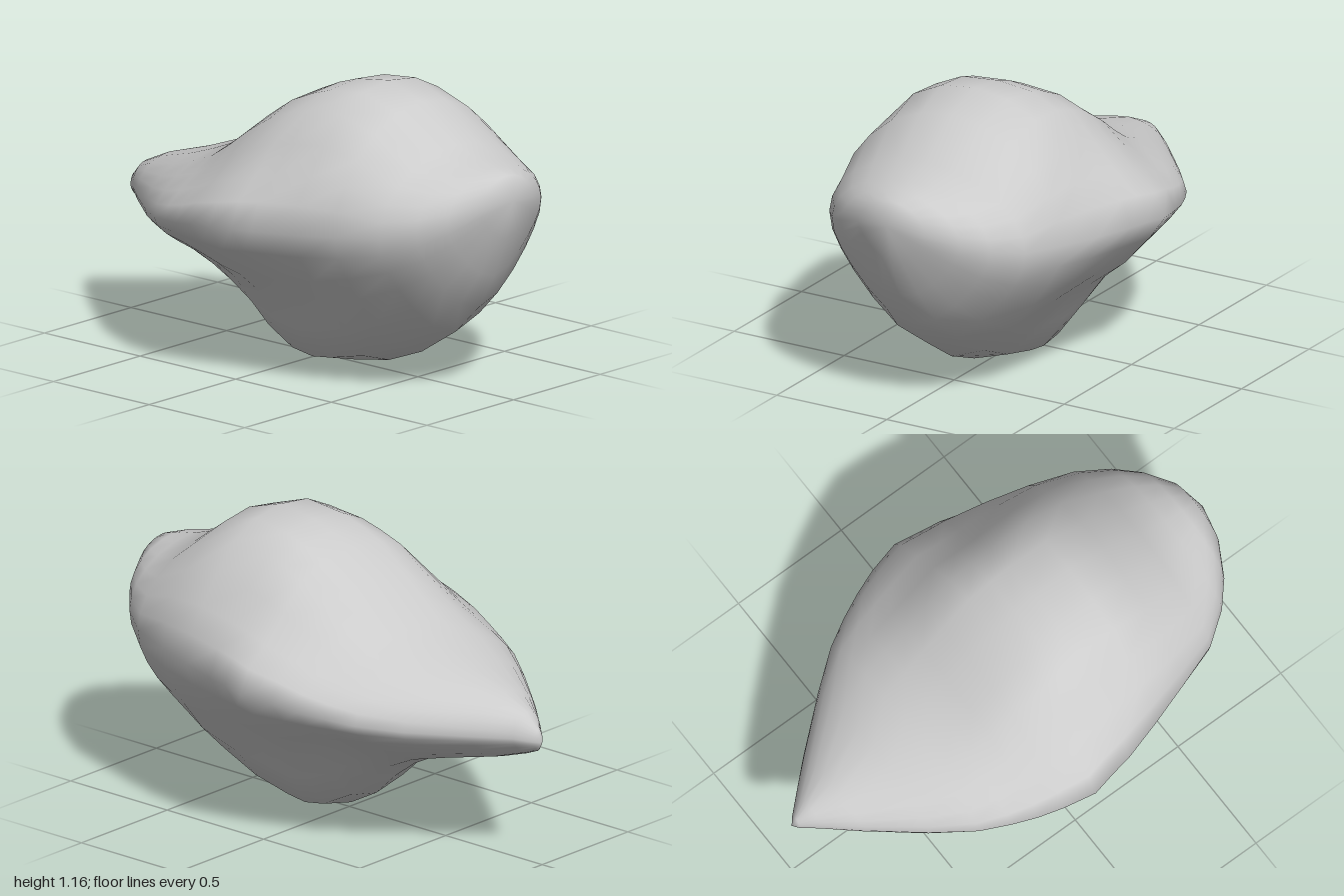
import * as THREE from 'three';

// Stations from nose to tail: z, top y, bottom y, half width, ridge y
const stations = [
  [0.965, 0.895, 0.64, 0.15, 0.78],
  [0.9, 0.915, 0.48, 0.27, 0.74],
  [0.82, 0.93, 0.34, 0.36, 0.71],
  [0.7, 0.97, 0.22, 0.445, 0.68],
  [0.52, 1.11, 0.105, 0.505, 0.665],
  [0.35, 1.165, 0.04, 0.56, 0.655],
  [0.18, 1.14, 0.01, 0.61, 0.65],
  [0.09, 1.11, 0, 0.625, 0.645],
  [-0.01, 1.065, 0.02, 0.645, 0.635],
  [-0.14, 0.975, 0.09, 0.615, 0.62],
  [-0.24, 0.895, 0.185, 0.58, 0.6],
  [-0.34, 0.825, 0.26, 0.535, 0.585],
  [-0.45, 0.78, 0.315, 0.475, 0.565],
  [-0.6, 0.725, 0.355, 0.36, 0.545],
  [-0.8, 0.665, 0.4, 0.19, 0.53],
  [-0.92, 0.61, 0.44, 0.08, 0.52],
  [-0.98, 0.55, 0.465, 0.025, 0.505],
];

// Half sections from top centre to bottom centre, x as a share of the half
// width, y as a share of the height above (+) or below (-) the ridge.
// The middle is creased along its sides, both ends are rounded.
const creased = [
  [0, 1], [0.26, 0.97], [0.45, 0.86], [0.62, 0.62], [0.78, 0.39], [0.93, 0.22], [1, 0],
  [0.89, -0.16], [0.72, -0.36], [0.57, -0.49], [0.41, -0.72], [0.25, -0.94], [0, -1],
];
const rounded = [
  [0, 1], [0.28, 0.95], [0.55, 0.82], [0.75, 0.64], [0.89, 0.44], [0.97, 0.22], [1, 0],
  [0.97, -0.16], [0.88, -0.32], [0.75, -0.49], [0.55, -0.7], [0.3, -0.9], [0, -1],
];

// Closed ring of [x, y] at one station, mirrored left to right
function ringAt([z, top, bottom, width, ridge]) {
  const roundness = THREE.MathUtils.smoothstep(Math.abs(z - 0.02), 0.1, 0.6);
  const half = creased.map(([cx, cy], i) => {
    const x = THREE.MathUtils.lerp(cx, rounded[i][0], roundness);
    const y = THREE.MathUtils.lerp(cy, rounded[i][1], roundness);
    return [x * width, ridge + y * (y > 0 ? top - ridge : ridge - bottom)];
  });
  const mirrored = half.slice(1, -1).reverse().map(([x, y]) => [-x, y]);
  return [...half, ...mirrored];
}

export function createModel() {
  const positions = [];
  const index = [];
  for (const station of stations) {
    for (const [x, y] of ringAt(station)) positions.push(x, y, station[0]);
  }

  // Nose and tail points
  const n = 2 * creased.length - 2;
  const nose = positions.length / 3;
  const tail = nose + 1;
  positions.push(0, 0.8, 1, 0, 0.5, -1);

  const last = (stations.length - 1) * n;
  for (let j = 0; j < n; j++) {
    const k = (j + 1) % n;
    index.push(nose, k, j, last + j, last + k, tail);
    for (let i = 0; i < last; i += n) {
      index.push(i + j, i + k, i + n + j, i + k, i + n + k, i + n + j);
    }
  }

  const geometry = new THREE.BufferGeometry();
  geometry.setAttribute('position', new THREE.Float32BufferAttribute(positions, 3));
  geometry.setIndex(index);
  geometry.computeVertexNormals();

  const shell = new THREE.Mesh(geometry, new THREE.MeshStandardMaterial({ color: 0xcccccc }));
  shell.name = 'shell';
  const group = new THREE.Group();
  group.name = 'seashell';
  group.add(shell);
  return group;
}
